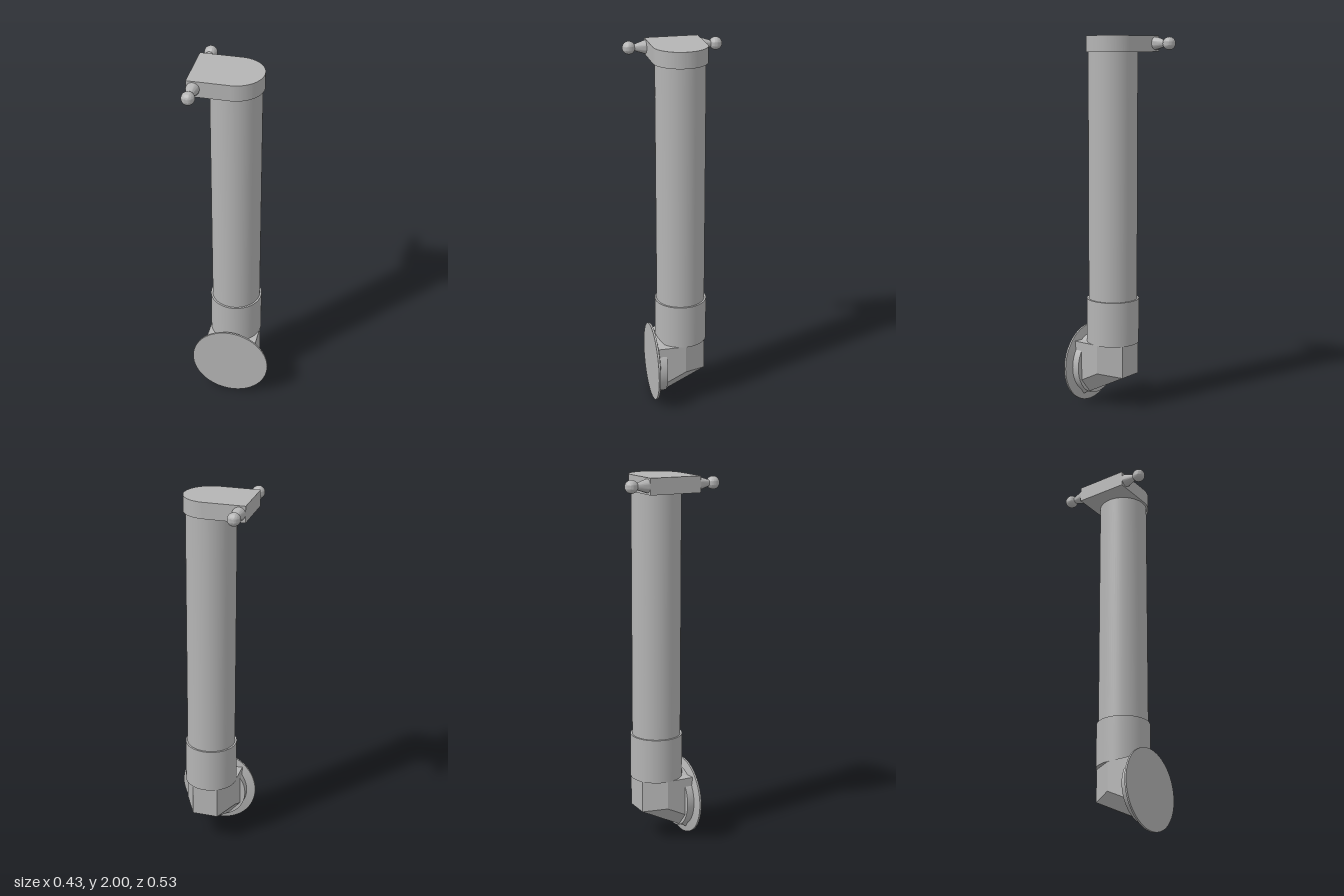
import * as THREE from 'three';
import { toCreasedNormals } from 'three/addons/utils/BufferGeometryUtils.js';
import { ConvexGeometry } from 'three/addons/geometries/ConvexGeometry.js';

export function createModel() {
  const model = new THREE.Group();
  const grey = new THREE.MeshStandardMaterial({ color: 0xb4b4b4 });

  const add = (name, geometry) => {
    const mesh = new THREE.Mesh(geometry, grey);
    mesh.name = name;
    model.add(mesh);
    return mesh;
  };
  const upright = (r, y0, y1) =>
    new THREE.CylinderGeometry(r, r, y1 - y0, 64).translate(0, (y0 + y1) / 2, 0);
  // Turned part with its axis along +z
  const turned = (points, crease = 0.5) => toCreasedNormals(
    new THREE.LatheGeometry(points.map(([r, z]) => new THREE.Vector2(r, z)), 64).rotateX(Math.PI / 2),
    crease);

  // Long tube and the wider sleeve below it
  add('tube', upright(0.131, 0.59, 1.92));
  add('sleeve', upright(0.141, 0.355, 0.597));

  // D-shaped cap: square towards -x, round towards +x
  const outline = new THREE.Shape();
  outline.moveTo(-0.217, -0.142);
  outline.lineTo(0, -0.142);
  outline.absarc(0, 0, 0.142, -Math.PI / 2, Math.PI / 2, false);
  outline.lineTo(-0.217, 0.142);
  outline.closePath();
  const cap = new THREE.ExtrudeGeometry(outline, { depth: 0.085, bevelEnabled: false, curveSegments: 40 });
  add('cap', toCreasedNormals(cap.rotateX(-Math.PI / 2).translate(0, 1.915, 0), 0.5));

  // Ball-ended pegs on both sides of the cap
  const pegProfile = [[0, 0.13], [0.034, 0.13], [0.034, 0.151], [0.018, 0.2]];
  for (let i = 0; i <= 16; i++) {
    const a = -1.02 + (i / 16) * (Math.PI / 2 + 1.02);
    pegProfile.push([Math.max(0, 0.034 * Math.cos(a)), 0.231 + 0.034 * Math.sin(a)]);
  }
  for (const side of [1, -1]) {
    const peg = add(side > 0 ? 'frontPeg' : 'backPeg', turned(pegProfile));
    peg.position.set(-0.183, 1.959, 0);
    if (side < 0) peg.rotation.y = Math.PI;
  }

  // Faceted elbow, half hexagon behind and sloping underneath
  const corners = [];
  for (const s of [1, -1]) {
    for (const [x, y, z] of [
      [0.07, 0.357, -0.12], [0.139, 0.357, 0], [0.139, 0.357, 0.152],
      [0.07, 0.18, -0.12], [0.139, 0.2, 0], [0.139, 0.124, 0.152], [0.07, 0.044, 0.152],
    ]) corners.push(new THREE.Vector3(s * x, y, z));
  }
  add('elbow', new ConvexGeometry(corners));

  // Collar and thin flange disc facing the front
  const collar = add('collar', turned([[0, 0.107], [0.168, 0.107], [0.168, 0.152], [0, 0.152]]));
  const flange = add('flange', turned(
    [[0, 0.14], [0.138, 0.14], [0.215, 0.157], [0.215, 0.167], [0, 0.167]], 0.15));
  collar.position.y = flange.position.y = 0.215;

  return model;
}
